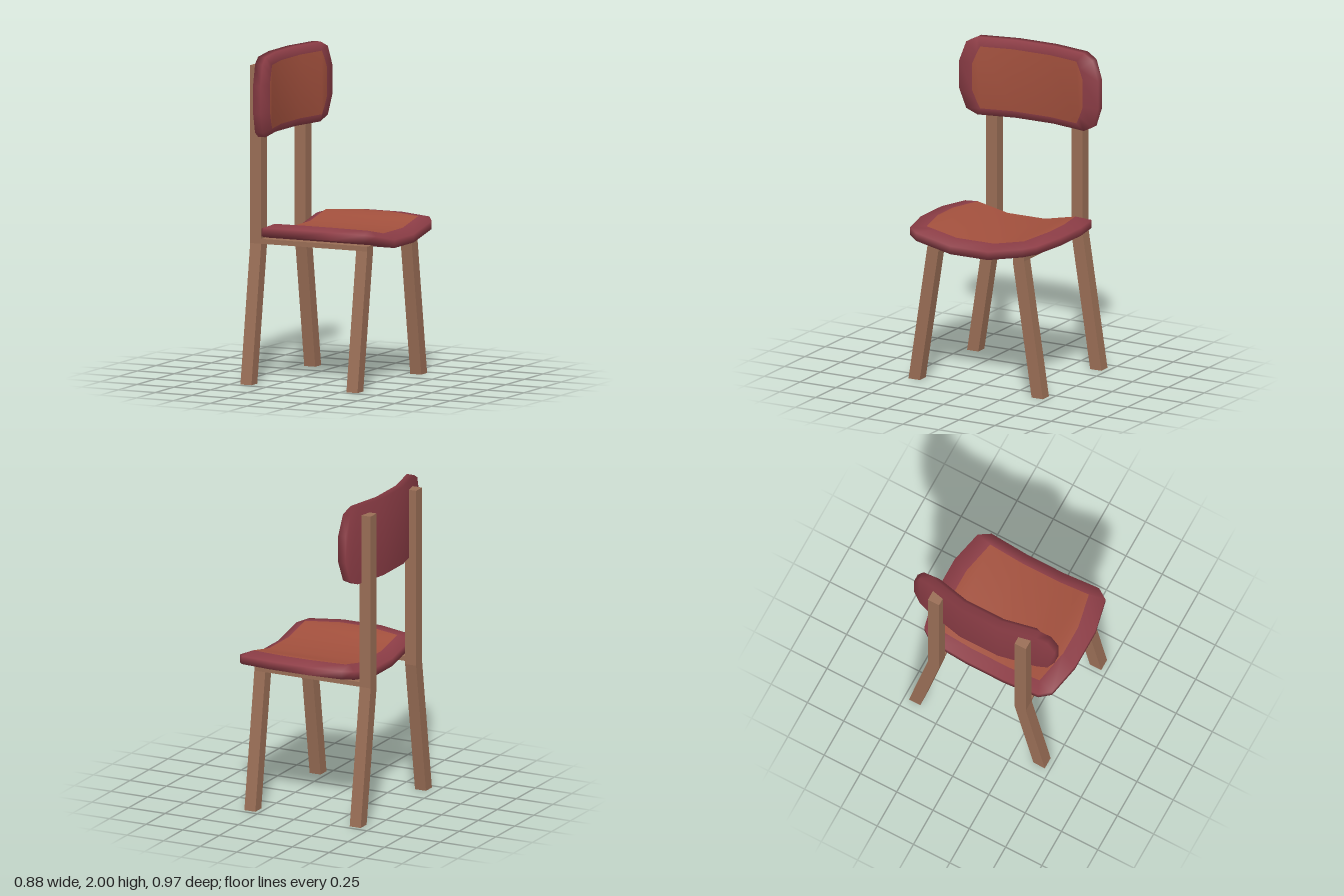
import * as THREE from 'three';

const wood = new THREE.MeshStandardMaterial({ name: 'wood', color: 0x9a6e56 });
const rimRed = new THREE.MeshStandardMaterial({ name: 'rim red', color: 0x8c3d46 });
const panelOrange = new THREE.MeshStandardMaterial({ name: 'panel orange', color: 0xa2503d });

// Full ring of [a, z] points, mirrored from one quadrant listed by rising z
function ring(quadrant) {
  const right = [...quadrant.map(([a, z]) => [a, -z]).reverse(), ...quadrant];
  return [...right, ...right.map(([a, z]) => [-a, z]).reverse()];
}

// Curved pad: flat in the middle, its sides bending up along z
function cushion(outer, inset) {
  const bend = z => Math.max(0, Math.abs(z) - 0.13) * 0.21;
  const rings = [[outer, 0], [outer, 0.05], [inset, 0.085]];
  const pos = [], rim = [], panel = [];
  const n = outer.length * 4;
  for (const [quadrant, t] of rings)
    for (const [a, z] of ring(quadrant)) pos.push(a, bend(z) + t, z);

  // Rim walls
  for (let r = 0; r < rings.length - 1; r++)
    for (let i = 0; i < n; i++) {
      const j = (i + 1) % n, p = r * n + i, q = r * n + j;
      rim.push(p, p + n, q, q, p + n, q + n);
    }
  // Underside and top panel, as strips from edge to edge
  const top = 2 * n;
  for (let i = 0; i < n / 2 - 1; i++) {
    const R = i, R2 = i + 1, L = n - 1 - i, L2 = n - 2 - i;
    rim.push(L, R, L2, R, R2, L2);
    panel.push(top + L, top + L2, top + R, top + R, top + L2, top + R2);
  }
  const g = new THREE.BufferGeometry();
  g.setAttribute('position', new THREE.Float32BufferAttribute(pos, 3));
  g.setIndex([...rim, ...panel]);
  g.addGroup(0, rim.length, 0);
  g.addGroup(rim.length, panel.length, 1);
  g.computeVertexNormals();
  return g;
}

// Leg: a side-on [z, y] outline given depth along x
function leg(points, side, x, width) {
  const shape = new THREE.Shape(points.map(([z, y]) => new THREE.Vector2(z * side, y)));
  const g = new THREE.ExtrudeGeometry(shape, { depth: width, bevelEnabled: false });
  g.rotateY(-Math.PI / 2);
  g.translate(x + width, 0, 0);
  return g;
}

export function createModel() {
  const chair = new THREE.Group();
  chair.name = 'chair';
  const add = (name, geometry, material) => {
    const mesh = new THREE.Mesh(geometry, material);
    mesh.name = name;
    chair.add(mesh);
    return mesh;
  };

  // Frame: splayed legs, upright back posts and side rails
  const backLeg = [[0.39, 0], [0.468, 0], [0.337, 0.85], [0.337, 1.94], [0.26, 1.94], [0.26, 0.83]];
  const frontLeg = [[0.39, 0], [0.468, 0], [0.337, 0.85], [0.337, 0.88], [0.26, 0.88], [0.26, 0.83]];
  for (const side of [1, -1]) {
    const label = side > 0 ? 'Left' : 'Right';
    add('backLeg' + label, leg(backLeg, side, -0.44, 0.075), wood);
    add('frontLeg' + label, leg(frontLeg, side, 0.28, 0.075), wood);
    const rail = add('sideRail' + label, new THREE.BoxGeometry(0.645, 0.03, 0.077), wood);
    rail.position.set(-0.0425, 0.865, side * 0.2985);
  }

  // Seat
  const seat = add('seat', cushion(
    [[0.39, 0.13], [0.39, 0.37], [0.34, 0.44], [0.13, 0.485]],
    [[0.315, 0.13], [0.315, 0.28], [0.315, 0.34], [0.095, 0.385]],
  ), [rimRed, panelOrange]);
  seat.position.set(0.045, 0.85, 0);

  // Backrest, turned upright to face the seat
  const back = add('backrest', cushion(
    [[0.245, 0.13], [0.245, 0.37], [0.21, 0.44], [0.085, 0.485]],
    [[0.195, 0.13], [0.195, 0.335], [0.15, 0.358], [0.085, 0.385]],
  ), [rimRed, panelOrange]);
  back.rotation.z = -Math.PI / 2;
  back.position.set(-0.42, 1.755, 0);

  return chair;
}
